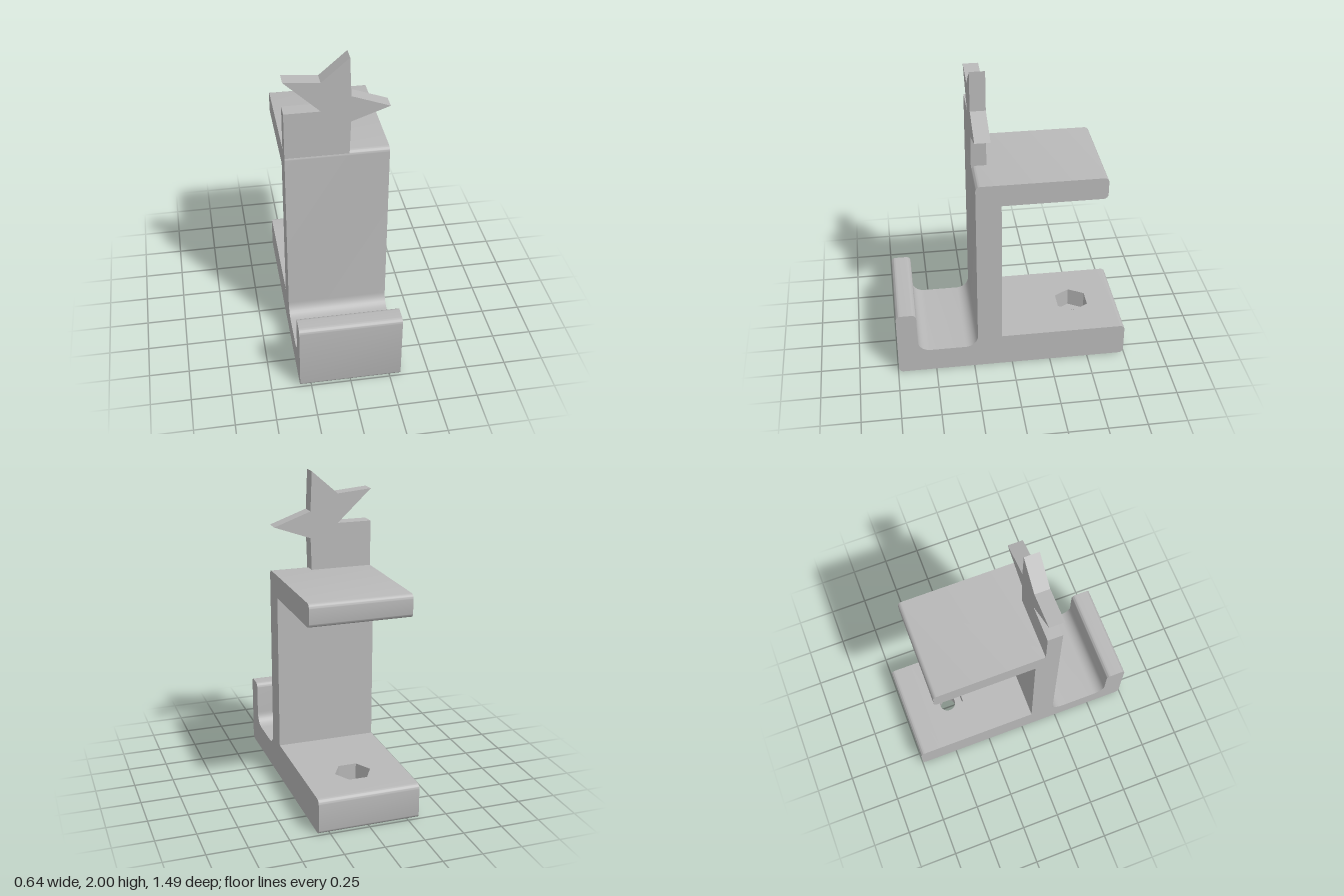
import * as THREE from 'three';
import { toCreasedNormals } from 'three/addons/utils/BufferGeometryUtils.js';

const WIDTH = 0.64;

// Closed outline from [a, b, radius] corners; a radius rounds the corner.
function roundedShape(corners) {
  const shape = new THREE.Shape();
  const n = corners.length;
  corners.forEach(([a, b, r = 0], i) => {
    const p = new THREE.Vector2(a, b);
    const prev = new THREE.Vector2(...corners[(i + n - 1) % n].slice(0, 2));
    const next = new THREE.Vector2(...corners[(i + 1) % n].slice(0, 2));
    const start = prev.sub(p).setLength(r).add(p);
    const end = next.sub(p).setLength(r).add(p);
    if (i === 0) shape.moveTo(start.x, start.y);
    else shape.lineTo(start.x, start.y);
    if (r > 0) {
      // cubic quarter arc
      const c1 = start.clone().lerp(p, 0.5523);
      const c2 = end.clone().lerp(p, 0.5523);
      shape.bezierCurveTo(c1.x, c1.y, c2.x, c2.y, end.x, end.y);
    }
  });
  shape.closePath();
  return shape;
}

function extrude(shape, depth) {
  return new THREE.ExtrudeGeometry(shape, { depth, bevelEnabled: false, curveSegments: 8 });
}

// Side profile given in (z, y), swept across the full width
function sweepAcross(corners) {
  const geometry = extrude(roundedShape(corners), WIDTH);
  geometry.translate(0, 0, -WIDTH / 2).rotateY(-Math.PI / 2);
  return toCreasedNormals(geometry, 0.6);
}

export function createModel() {
  const group = new THREE.Group();
  const grey = new THREE.MeshStandardMaterial({ color: 0xb8b8b8 });
  grey.name = 'plain grey';

  function add(name, geometry) {
    const mesh = new THREE.Mesh(geometry, grey);
    mesh.name = name;
    group.add(mesh);
  }

  const baseTop = 0.225, slabFront = -0.3, slabBack = -0.6;

  // Front hook, upright and top arm in one profile
  add('hookAndUpright', sweepAcross([
    [0.745, 0, 0.03], [0.745, 0.455, 0.03], [0.615, 0.455, 0.03],
    [0.615, 0.162, 0.08], [0.225, 0.162, 0.08],
    [0.225, 1.375, 0.03], [-0.58, 1.375, 0.03], [-0.58, 1.23, 0.03],
    [0.068, 1.23], [0.068, baseTop], [slabFront, baseTop], [slabFront, 0],
  ]));

  // Rounded rear end of the base
  add('baseRearEdge', sweepAcross([
    [slabBack, 0], [slabBack, baseTop], [-0.745, baseTop, 0.03], [-0.745, 0, 0.03],
  ]));

  // Drilled section of the base: round bore below, hexagonal nut pocket above
  function drilledSlab(name, y0, y1, radius, sides) {
    const shape = roundedShape([
      [-WIDTH / 2, -slabFront], [WIDTH / 2, -slabFront],
      [WIDTH / 2, -slabBack], [-WIDTH / 2, -slabBack],
    ]);
    const points = [];
    for (let i = 0; i < sides; i++) {
      const t = (i / sides) * Math.PI * 2;
      points.push(new THREE.Vector2(radius * Math.cos(t), 0.445 + radius * Math.sin(t)));
    }
    shape.holes.push(new THREE.Path(points));
    const geometry = extrude(shape, y1 - y0);
    geometry.rotateX(-Math.PI / 2).translate(0, y0, 0);
    add(name, toCreasedNormals(geometry, 0.6));
  }
  drilledSlab('baseScrewBore', 0, 0.1, 0.053, 32);
  drilledSlab('baseNutPocket', 0.1, baseTop, 0.115, 6);

  // Star with its square support, flush with the front of the upright
  const star = extrude(roundedShape([
    [-0.32, 1.36], [0.073, 1.36], [0.08, 1.58], [0.315, 1.665], [0.08, 1.75],
    [0.07, 2], [-0.1, 1.852], [-0.32, 1.872], [-0.1, 1.665], [-0.32, 1.665],
  ]), 0.095);
  star.translate(0, 0, 0.13);
  add('starPlate', star);

  return group;
}
